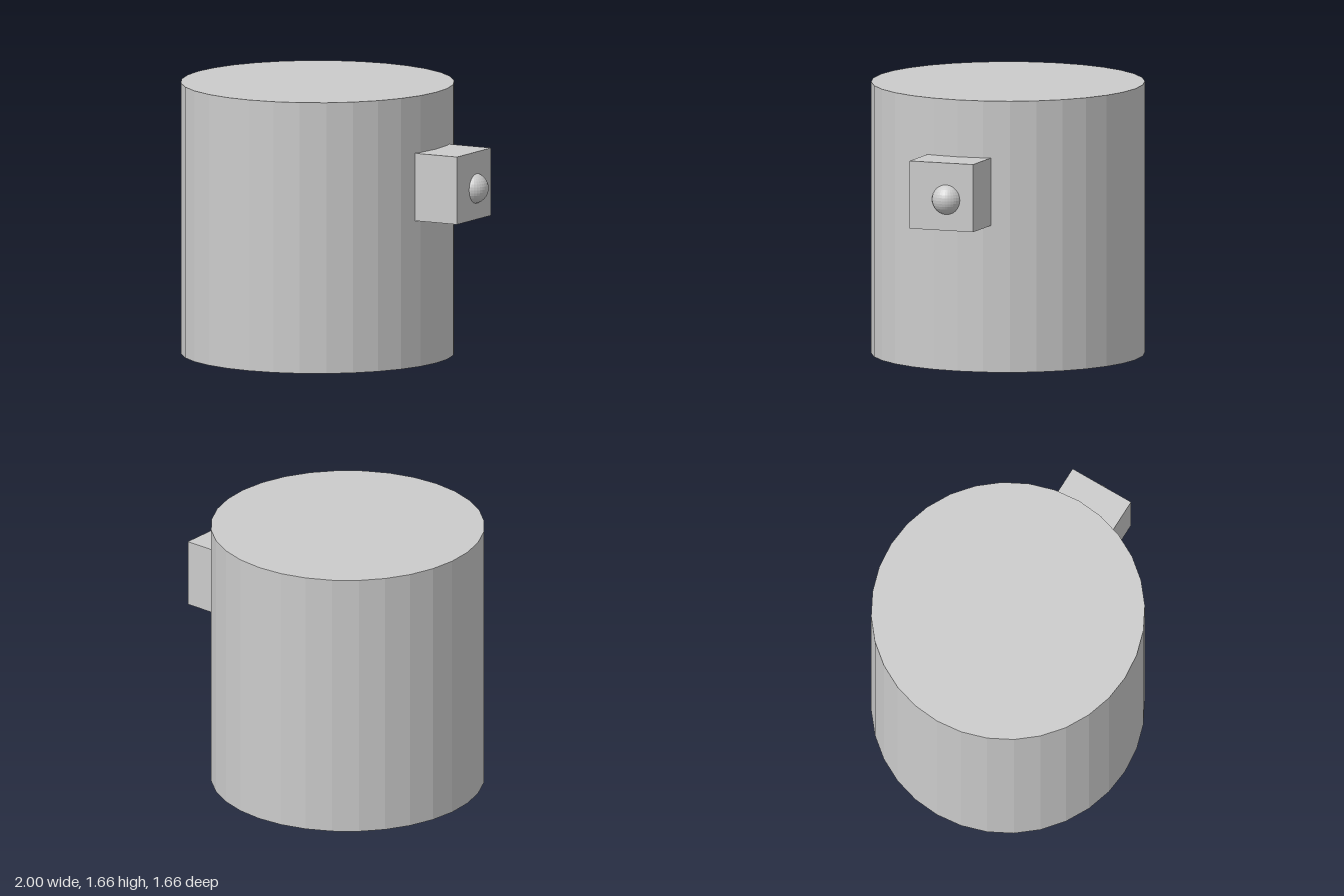
import * as THREE from 'three';

export function createModel() {
  const model = new THREE.Group();
  const material = new THREE.MeshStandardMaterial({ color: 0xcccccc, flatShading: true });

  const add = (name, geometry, x, y, z) => {
    const mesh = new THREE.Mesh(geometry, material);
    mesh.name = name;
    mesh.position.set(x, y, z);
    model.add(mesh);
  };

  // Faceted drum standing on the ground
  const radius = 0.832, height = 1.665;
  add('drumBody', new THREE.CylinderGeometry(radius, radius, height, 32), -0.168, height / 2, 0);

  // Cube set into the drum's left side
  const size = 0.415;
  add('sideBlock', new THREE.BoxGeometry(size, size, size), 0.93 - size / 2, 1.108, 0);

  // Round button sunk into the block's outer face
  add('button', new THREE.SphereGeometry(0.094, 32, 16), 0.906, 1.09, -0.031);

  return model;
}
